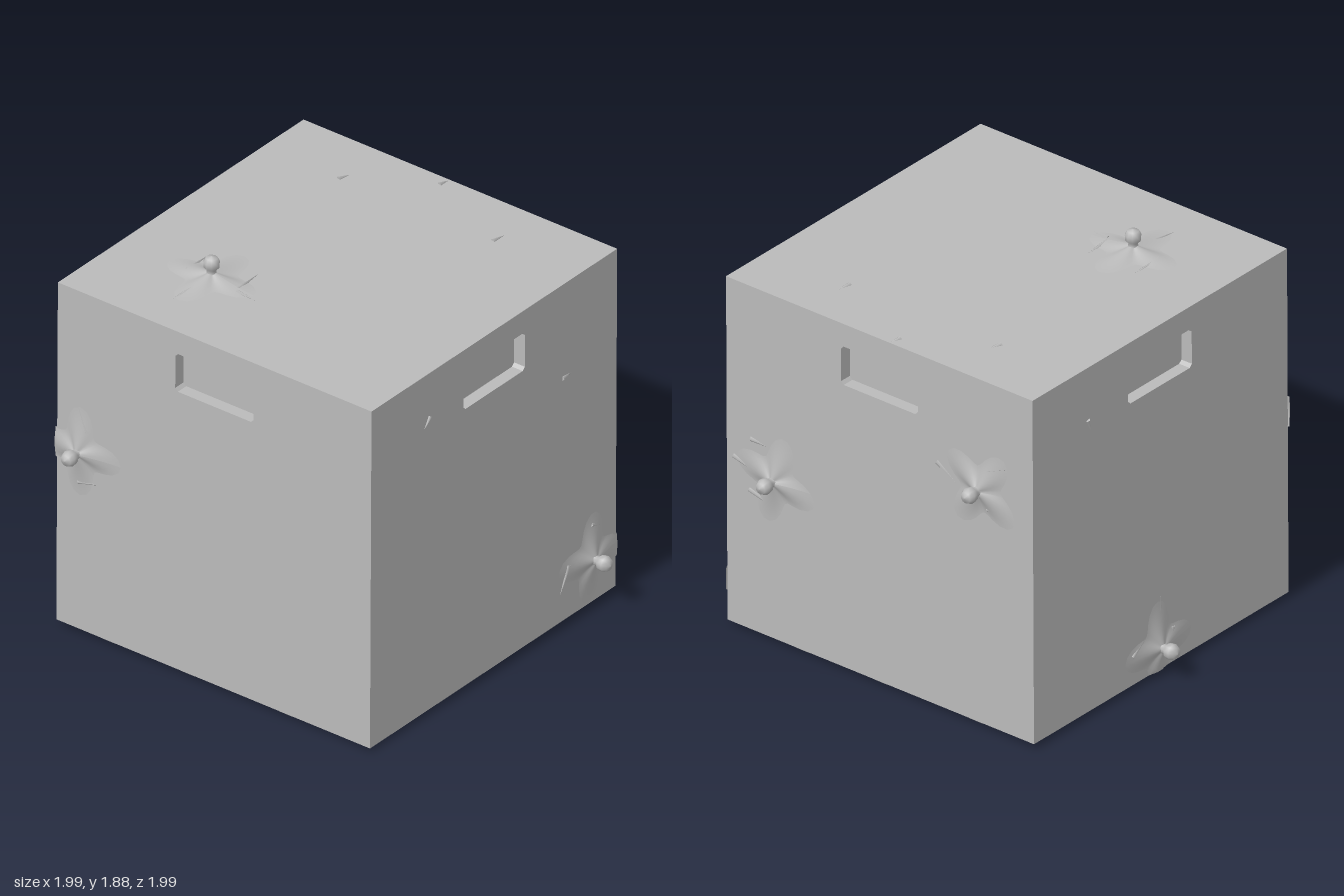
import * as THREE from 'three';

const HALF = 0.88;    // half width of the crate
const WALL = 0.06;    // wall thickness
const BASE = 0.02, TOP = 1.765;

const grey = new THREE.MeshStandardMaterial({ color: 0xbababa, side: THREE.DoubleSide });
grey.name = 'plain grey';

function addMesh(parent, name, geometry) {
  const mesh = new THREE.Mesh(geometry, grey);
  mesh.name = name;
  parent.add(mesh);
  return mesh;
}

// Side wall with a hand hole; its outer face lies on local z = 0
function wallGeometry(half) {
  const shape = new THREE.Shape();
  shape.moveTo(-half, BASE);
  shape.lineTo(half, BASE);
  shape.lineTo(half, TOP - WALL);
  shape.lineTo(-half, TOP - WALL);
  shape.closePath();
  const x = 0.22, y0 = 1.455, y1 = 1.65, c = 0.015;
  const corners = [[-x + c, y0], [-x, y0 + c], [-x, y1 - c], [-x + c, y1], [x - c, y1], [x, y1 - c], [x, y0 + c], [x - c, y0]];
  shape.holes.push(new THREE.Path(corners.map(([u, v]) => new THREE.Vector2(u, v))));
  return new THREE.ExtrudeGeometry(shape, { depth: WALL, bevelEnabled: false }).translate(0, 0, -WALL);
}

// Star-shaped stretched skin around a knob, kept within the face
function skinGeometry(u, v, radius, vMin, vMax, phase) {
  const g = new THREE.RingGeometry(0.02, 1, 40, 6);
  const p = g.attributes.position;
  for (let i = 0; i < p.count; i++) {
    const r = Math.min(1, Math.hypot(p.getX(i), p.getY(i)));
    const a = Math.atan2(p.getY(i), p.getX(i));
    const reach = radius * (0.75 + 0.25 * Math.cos(4 * a + phase)) * r;
    const x = THREE.MathUtils.clamp(u + Math.cos(a) * reach, -HALF - 0.01, HALF + 0.01);
    const y = THREE.MathUtils.clamp(v + Math.sin(a) * reach, vMin, vMax);
    p.setXYZ(i, x, y, 0.04 * (1 - r) ** 1.7 - 0.001);
  }
  g.computeVertexNormals();
  return g;
}

// Narrow stem swelling into a rounded head, pointing along +z
const knobProfile = [[0.045, 0], [0.024, 0.025], [0.022, 0.045], [0.036, 0.06], [0.038, 0.085], [0.027, 0.106], [0, 0.114]]
  .map(([r, h]) => new THREE.Vector2(r, h));
const knobGeometry = new THREE.LatheGeometry(knobProfile, 10).rotateX(Math.PI / 2);

// Thin tapered crease lying on a face
function addFold(face, [u1, v1, u2, v2]) {
  const length = Math.hypot(u2 - u1, v2 - v1);
  const fold = addMesh(face, 'fold', new THREE.ConeGeometry(0.012, length, 5));
  fold.position.set((u1 + u2) / 2, (v1 + v2) / 2, 0);
  fold.rotation.z = Math.atan2(v2 - v1, u2 - u1) - Math.PI / 2;
}

// Knobs are [u, v, skin radius, phase]; folds are [u1, v1, u2, v2]
const sides = [
  { name: 'front', turn: 0, knobs: [[-0.75, 0.94, 0.25, 0]],
    folds: [[-0.71, 1.05, -0.765, 1.17], [-0.64, 0.93, -0.57, 0.91], [-0.76, 0.78, -0.65, 0.8], [-0.78, 1.03, -0.7, 1.04]] },
  { name: 'left', turn: Math.PI / 2, knobs: [[0.7, 0.25, 0.25, 0.4]],
    folds: [[0.54, 0.29, 0.48, 0.16], [0.7, 0.42, 0.78, 0.39], [-0.46, 1.54, -0.5, 1.49], [0.49, 1.28, 0.56, 1.28]] },
  { name: 'back', turn: Math.PI, knobs: [[0.58, 1.21, 0.25, 2.5], [-0.6, 0.83, 0.25, 1]],
    folds: [[0.33, 1.26, 0.45, 1.18], [0.63, 1.32, 0.73, 1.36], [0.62, 1.12, 0.7, 1.15],
      [-0.74, 0.99, -0.65, 0.98], [-0.84, 0.87, -0.7, 0.82], [-0.75, 0.73, -0.55, 0.67], [-0.53, 0.79, -0.45, 0.78]] },
  { name: 'right', turn: -Math.PI / 2, knobs: [[-0.02, 0.14, 0.25, 0]],
    folds: [[-0.01, 0.2, 0, 0.4], [-0.2, 0.16, -0.1, 0.22], [0.08, 0.2, 0.06, 0.1], [-0.5, 1.5, -0.48, 1.44]] },
];

// Knobs, skins and folds on one face
function dressFace(face, { knobs, folds }, vMin, vMax) {
  for (const [u, v, radius, phase] of knobs) {
    addMesh(face, 'stretchedSkin', skinGeometry(u, v, radius, vMin, vMax, phase));
    addMesh(face, 'knob', knobGeometry).position.set(u, v, 0);
  }
  folds.forEach((fold) => addFold(face, fold));
}

export function createModel() {
  const model = new THREE.Group();
  model.name = 'crate';
  const body = new THREE.Group();
  body.name = 'body';
  body.rotation.set(0, -0.008, -0.005);
  model.add(body);

  // Core forms the backs of the hand holes and the recessed floor
  const inner = 2 * (HALF - WALL);
  addMesh(body, 'core', new THREE.BoxGeometry(inner, 1.64, inner)).position.y = 0.89;

  // Four walls with hand holes
  sides.forEach((side, i) => {
    const face = new THREE.Group();
    face.name = side.name + 'Side';
    face.rotation.y = side.turn;
    face.position.set(Math.sin(side.turn) * HALF, 0, Math.cos(side.turn) * HALF);
    body.add(face);
    addMesh(face, 'wall', wallGeometry(i % 2 ? HALF - WALL : HALF));
    dressFace(face, side, BASE, TOP);

    // Small lumps under the rim
    for (const u of [-0.6, -0.15, 0.4]) {
      const lump = addMesh(face, 'rimLump', new THREE.SphereGeometry(1, 10, 6));
      lump.position.set(u + i * 0.07, BASE, -0.03);
      lump.scale.set(0.12, 0.017, 0.025);
    }
  });

  // Lid with its own knob
  const lid = new THREE.Group();
  lid.name = 'lid';
  lid.rotation.x = -Math.PI / 2;
  lid.position.y = TOP;
  body.add(lid);
  addMesh(lid, 'lidPanel', new THREE.BoxGeometry(2 * HALF, 2 * HALF, WALL)).position.z = -WALL / 2;
  dressFace(lid, {
    knobs: [[-0.37, -0.43, 0.26, 0]],
    folds: [[-0.5, -0.45, -0.5, -0.27], [-0.385, -0.35, -0.39, -0.24], [-0.335, -0.35, -0.33, -0.25], [-0.38, -0.355, -0.33, -0.355],
      [-0.22, -0.43, -0.23, -0.27], [-0.21, -0.45, -0.1, -0.46], [-0.385, -0.56, -0.4, -0.68],
      [-0.45, 0.58, -0.43, 0.64], [0.41, 0.59, 0.42, 0.66], [-0.07, 0.82, -0.06, 0.87]],
  }, -HALF, HALF);

  return model;
}
